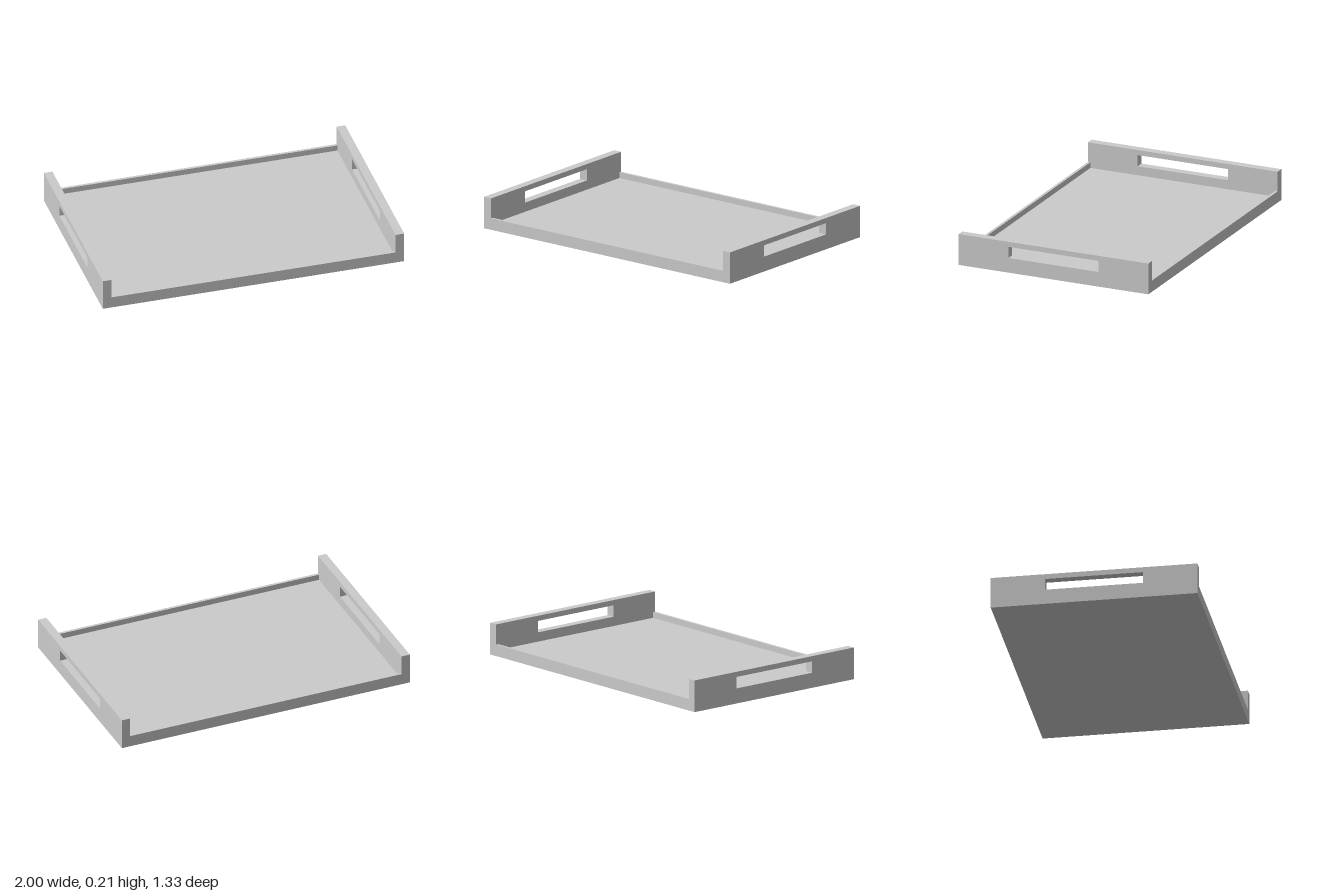
import * as THREE from 'three';

const WIDTH = 2, DEPTH = 1.334, END_HEIGHT = 0.208, END_THICK = 0.057;
const RAIL_HEIGHT = 0.076, RAIL_THICK = 0.018, FLOOR_TOP = 0.038;

// Rectangle outline, usable as a shape or as a hole
function rectangle(path, halfWidth, bottom, top) {
  path.moveTo(-halfWidth, bottom);
  path.lineTo(halfWidth, bottom);
  path.lineTo(halfWidth, top);
  path.lineTo(-halfWidth, top);
  path.closePath();
  return path;
}

export function createModel() {
  const tray = new THREE.Group();
  tray.name = 'servingTray';
  const material = new THREE.MeshStandardMaterial({ color: 0xcccccc, flatShading: true });

  function add(name, geometry, x, y, z) {
    const mesh = new THREE.Mesh(geometry, material);
    mesh.name = name;
    mesh.position.set(x, y, z);
    tray.add(mesh);
  }

  const innerWidth = WIDTH - 2 * END_THICK;

  // Floor panel between the rails and the ends
  add('floor', new THREE.BoxGeometry(innerWidth, FLOOR_TOP, DEPTH - 2 * RAIL_THICK), 0, FLOOR_TOP / 2, 0);

  // End panel with a slot as hand grip
  const endShape = rectangle(new THREE.Shape(), DEPTH / 2, 0, END_HEIGHT);
  endShape.holes.push(rectangle(new THREE.Path(), 0.317, 0.099, 0.174));
  const endGeometry = new THREE.ExtrudeGeometry(endShape, { depth: END_THICK, bevelEnabled: false });
  endGeometry.translate(0, 0, -END_THICK / 2).rotateY(Math.PI / 2);

  // Low rail along the long edges
  const railGeometry = new THREE.BoxGeometry(innerWidth, RAIL_HEIGHT, RAIL_THICK);

  for (const side of [1, -1]) {
    add(side > 0 ? 'leftHandleEnd' : 'rightHandleEnd', endGeometry, side * (WIDTH - END_THICK) / 2, 0, 0);
    add(side > 0 ? 'frontRail' : 'backRail', railGeometry, 0, RAIL_HEIGHT / 2, side * (DEPTH - RAIL_THICK) / 2);
  }

  return tray;
}
